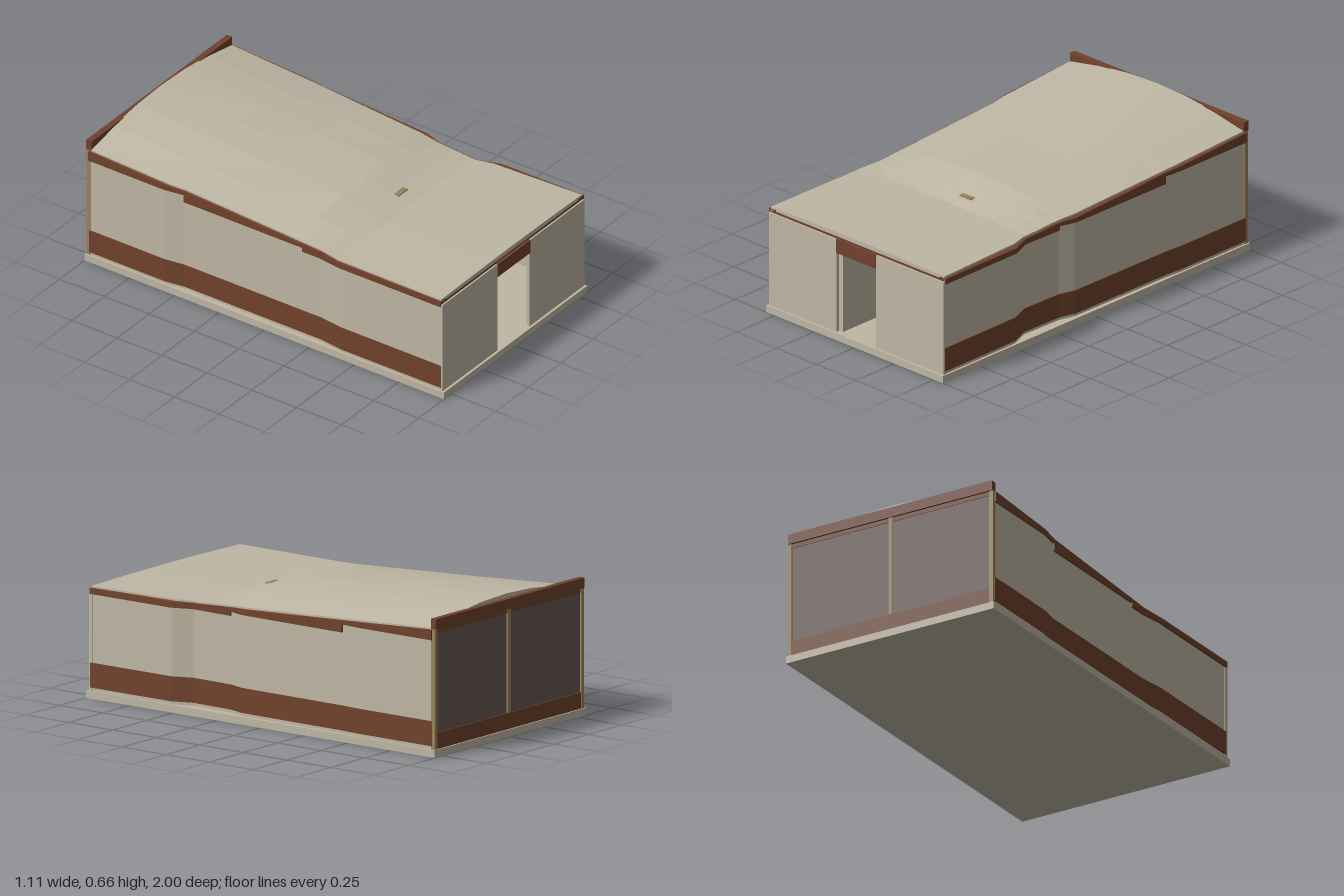
import * as THREE from 'three';

const mat = (name, color) => {
  const m = new THREE.MeshStandardMaterial({ color, flatShading: true });
  m.name = name;
  return m;
};

// Piecewise linear lookup in [z, value] pairs, z falling
function at(table, z) {
  if (z >= table[0][0]) return table[0][1];
  for (let i = 1; i < table.length; i++) {
    const [z0, v0] = table[i - 1], [z1, v1] = table[i];
    if (z >= z1) return v0 + (v1 - v0) * (z0 - z) / (z0 - z1);
  }
  return table[table.length - 1][1];
}

// Solid through convex cross-sections, ordered front to back, counter-clockwise from +z
function loft(sections) {
  const pos = [];
  const tri = (a, b, c) => pos.push(...a, ...b, ...c);
  const n = sections[0].length, last = sections[sections.length - 1];
  for (let i = 0; i < sections.length - 1; i++) {
    for (let j = 0; j < n; j++) {
      const k = (j + 1) % n, s = sections[i], t = sections[i + 1];
      tri(s[j], t[j], t[k]);
      tri(s[j], t[k], s[k]);
    }
  }
  for (let j = 1; j < n - 1; j++) {
    tri(sections[0][0], sections[0][j], sections[0][j + 1]);
    tri(last[0], last[j + 1], last[j]);
  }
  const g = new THREE.BufferGeometry();
  g.setAttribute('position', new THREE.Float32BufferAttribute(pos, 3));
  g.computeVertexNormals();
  return g;
}

export function createModel() {
  const model = new THREE.Group();
  model.name = 'pavilion';
  const plaster = mat('plaster', 0xbfb7a4);
  const wood = mat('dark wood', 0x70412c);
  const tan = mat('tan frame', 0x98825a);
  const glass = mat('smoked glass', 0x675950);

  const add = (name, geo, material) => {
    const m = new THREE.Mesh(geo, material);
    m.name = name;
    model.add(m);
  };
  const box = (name, material, x0, x1, y0, y1, z0, z1) => {
    const g = new THREE.BoxGeometry(x1 - x0, y1 - y0, z1 - z0);
    g.translate((x0 + x1) / 2, (y0 + y1) / 2, (z0 + z1) / 2);
    add(name, g, material);
  };

  // Heights along the length: roof eave and roof crown
  const eave = [[0.98, 0.52], [0.4, 0.52], [-0.98, 0.598]];
  const crown = [[0.98, 0.526], [0.4, 0.526], [0.16, 0.58], [-0.2, 0.6], [-0.53, 0.628], [-0.98, 0.66]];
  // Outer face of each side wall and edge of the roof, as distance from the centre line
  const sides = [
    { name: 'left', s: 1,
      wall: [[0.98, 0.545], [0.52, 0.543], [0.42, 0.505], [0.2, 0.51], [0.12, 0.534], [-0.46, 0.538], [-0.56, 0.545], [-0.98, 0.545]],
      roof: [[0.98, 0.543], [0.5, 0.523], [0.42, 0.502], [0.2, 0.507], [0.1, 0.52], [-0.53, 0.538], [-0.98, 0.543]] },
    { name: 'right', s: -1,
      wall: [[0.98, 0.545], [0.42, 0.545], [0.3, 0.53], [-0.46, 0.53], [-0.56, 0.545], [-0.98, 0.545]],
      roof: [[0.98, 0.545], [0.4, 0.541], [0.3, 0.527], [-0.45, 0.527], [-0.56, 0.541], [-0.98, 0.545]] },
  ];

  // Floor slab
  box('floorSlab', plaster, -0.555, 0.555, 0, 0.035, -1, 1);

  // Curving side walls, lower bands and stepped fascias
  const strip = (side, name, material, inner, outer, zs, low, high) => {
    const sections = zs.map((z) => {
      const w = at(side.wall, z), a = side.s * (w + inner), b = side.s * (w + outer);
      const x0 = Math.min(a, b), x1 = Math.max(a, b), y0 = low(z), y1 = high(z);
      return [[x0, y0, z], [x1, y0, z], [x1, y1, z], [x0, y1, z]];
    });
    add(side.name + name, loft(sections), material);
  };
  for (const side of sides) {
    const stations = (z0, z1) => [...new Set([z0, z1, ...[...side.wall, ...eave].map((p) => p[0])])]
      .filter((z) => z <= z0 && z >= z1).sort((a, b) => b - a);
    const all = stations(0.98, -0.98);
    strip(side, 'Wall', plaster, -0.02, 0, all, () => 0.035, (z) => at(eave, z) - 0.01);
    strip(side, 'LowerBand', wood, -0.002, 0.005, all, () => 0.05, () => 0.165);
    for (const [z0, z1, y] of [[0.98, 0.2, 0.485], [0.2, -0.46, 0.505], [-0.46, -0.98, 0.542]]) {
      strip(side, 'Fascia', wood, -0.03, 0.01, stations(z0, z1), () => y, (z) => at(eave, z) - 0.008);
    }
  }

  // Arched roof, flat underneath
  const roofZ = [0.978, 0.5, 0.42, 0.4, 0.3, 0.2, 0.16, 0.1, -0.2, -0.45, -0.53, -0.975];
  add('roof', loft(roofZ.map((z) => {
    const e = at(eave, z), c = at(crown, z);
    const left = at(sides[0].roof, z), right = at(sides[1].roof, z);
    const sec = [[-right, e - 0.016, z], [left, e - 0.016, z]];
    for (let i = 3; i >= -3; i--) {
      const t = i / 3;
      sec.push([t * (t > 0 ? left : right), e + (c - e) * (1 - t * t), z]);
    }
    return sec;
  })), plaster);
  box('roofVent', tan, 0.018, 0.09, 0.53, 0.546, 0.297, 0.335);

  // Front wall with doorway
  for (const s of [-1, 1]) {
    const a = s * 0.125, b = s * 0.548;
    box('frontWall', plaster, Math.min(a, b), Math.max(a, b), 0.035, 0.495, 0.97, 0.988);
  }
  box('doorHeader', wood, -0.125, 0.125, 0.43, 0.498, 0.968, 0.992);
  box('frontEaveStrip', wood, -0.54, 0.54, 0.494, 0.505, 0.95, 0.98);
  box('openDoor', plaster, -0.125, -0.102, 0.035, 0.43, 0.67, 0.97);

  // Glazed back wall
  box('backGlass', glass, -0.54, 0.54, 0.1, 0.59, -0.987, -0.98);
  box('backSill', wood, -0.545, 0.545, 0.035, 0.11, -0.993, -0.975);
  box('backFascia', wood, -0.545, 0.545, 0.592, 0.64, -1, -0.97);
  box('backHead', wood, -0.54, 0.54, 0.572, 0.592, -0.99, -0.977);
  for (const x of [-0.538, 0, 0.538]) {
    box('backMullion', tan, x - 0.01, x + 0.01, x ? 0.035 : 0.11, 0.592, -0.995, -0.974);
  }
  return model;
}
